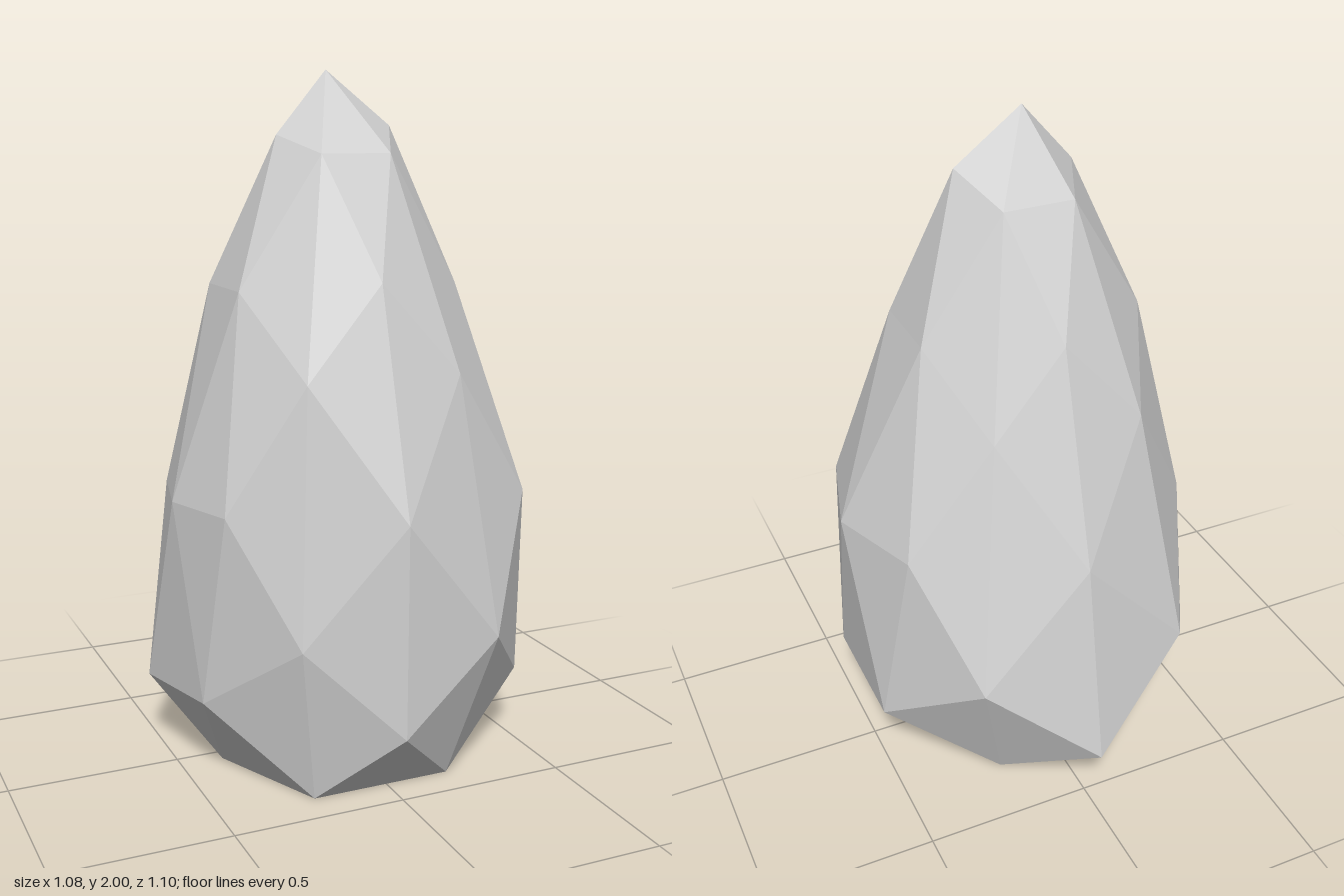
import * as THREE from 'three';

// Small irregularities: direction on the unit sphere, then the offset to add
const nudges = [
  { at: [0, 1, 0], by: [-0.015, 0, -0.015] },
  { at: [0.53, 0.85, 0], by: [0.005, 0.025, 0] },
  { at: [0.5, 0.31, -0.81], by: [-0.018, 0, 0.024] },
  { at: [1, 0, 0], by: [0.025, 0, 0.01] },
  { at: [-1, 0, 0], by: [0.03, 0, 0.015] },
  { at: [0.85, 0, 0.53], by: [0.024, 0, 0.027] },
  { at: [-0.85, 0, 0.53], by: [0.026, 0, -0.023] },
  { at: [-0.85, 0, -0.53], by: [0.011, 0, 0.038] },
  { at: [-0.5, -0.31, 0.81], by: [0.032, 0.02, -0.054] },
  { at: [0.5, -0.31, -0.81], by: [0.013, 0, -0.021] },
  { at: [-0.5, -0.31, -0.81], by: [-0.033, 0, -0.006] },
  { at: [-0.81, -0.5, 0.31], by: [0.061, 0.035, -0.043] },
  { at: [-0.81, -0.5, -0.31], by: [0, 0.015, 0.018] },
  { at: [0, -0.53, 0.85], by: [0, 0.016, -0.031] },
  { at: [0, -0.53, -0.85], by: [-0.015, -0.02, -0.059] },
];

// Tapers a point of the unit sphere into a pointed stone with a flat base
function shapeStone(p) {
  const dir = p.clone();
  const width = 0.53 - 0.24 * dir.y;
  const tuck = dir.y < -0.7 ? 0.93 : 1;
  p.set(
    -0.015 + dir.x * width * tuck,
    Math.max(0, 0.81 + 1.19 * dir.y),
    0.045 + dir.z * width * 0.96
  );
  for (const { at, by } of nudges) {
    if (dir.distanceTo(new THREE.Vector3(...at)) < 0.1) p.add(new THREE.Vector3(...by));
  }
  return p;
}

export function createModel() {
  const group = new THREE.Group();
  group.name = 'standingStone';

  const stone = new THREE.MeshStandardMaterial({ color: 0xd1d1d1 });
  stone.name = 'pale stone grey';

  // Faceted stone: unshared corners give every face its own flat normal
  const geometry = new THREE.IcosahedronGeometry(1, 1);
  const position = geometry.attributes.position;
  const p = new THREE.Vector3();
  for (let i = 0; i < position.count; i++) {
    shapeStone(p.fromBufferAttribute(position, i));
    position.setXYZ(i, p.x, p.y, p.z);
  }
  geometry.computeVertexNormals();

  const body = new THREE.Mesh(geometry, stone);
  body.name = 'stoneBody';
  group.add(body);
  return group;
}
